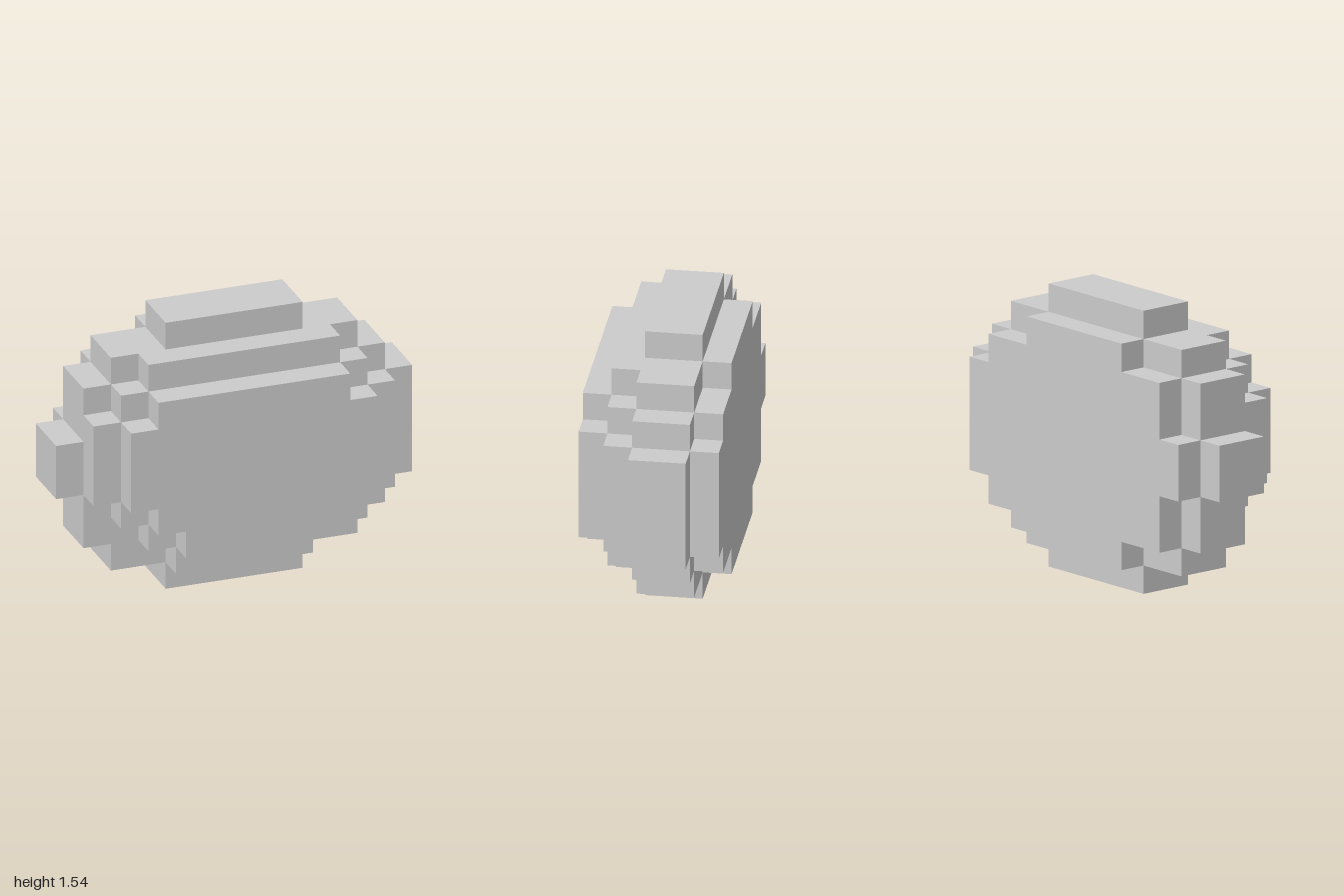
import * as THREE from 'three';

// one grid step; the whole body is 13 x 10 x 5 steps
const U = 2 / 13;

// Each slab: name, back z, thickness, then runs of rows [bottom, top, right edge x, left edge x] in steps
const SLABS = [
  ['backSlab', -2.5, 1, [
    [1, 2, -2.5, 2.5], [2, 3, -4.5, 4.5], [3, 4, -4.5, 5.5],
    [4, 6, -5.5, 5.5], [6, 7, -4.5, 5.5], [7, 8, -4.5, 4.5], [8, 9, -2.5, 2.5]]],
  ['middleSlab', -1.5, 2, [
    [0, 1, -2.5, 2.5], [1, 2, -4.5, 4.5], [2, 3, -5.5, 5.5], [3, 4, -5.5, 6.5],
    [4, 6, -6.5, 6.5], [6, 7, -5.5, 6.5], [7, 8, -5.5, 5.5], [8, 9, -4.5, 4.5], [9, 10, -2.5, 2.5]]],
  ['frontSlab', 0.5, 1, [
    [1, 2, -2.5, 2.5], [2, 3, -3.5, 4.5], [3, 4, -4.5, 5.5],
    [4, 7, -5.5, 5.5], [7, 8, -4.5, 4.5], [8, 9, -3.5, 3.5]]],
  ['facePlate', 1.5, 1, [
    [2, 3, -2.5, 2.5], [3, 4, -3.5, 4.5], [4, 7, -4.5, 4.5], [7, 8, -3.5, 3.5]]],
];

// stepped outline: up the +x side, then down the -x side, skipping points on straight runs
function steppedShape(rows) {
  const points = [];
  const add = (x, y) => {
    const n = points.length;
    if (n > 1 && points[n - 1].x === x && points[n - 2].x === x) points.pop();
    points.push(new THREE.Vector2(x, y));
  };
  for (const [y0, y1, , x] of rows) { add(x, y0); add(x, y1); }
  for (const [y0, y1, x] of [...rows].reverse()) { add(x, y1); add(x, y0); }
  // drop repeated corners where neighbouring rows share an edge
  return new THREE.Shape(points.filter((p, i) => i === 0 || !p.equals(points[i - 1])));
}

export function createModel() {
  const group = new THREE.Group();
  group.name = 'blockyBoulder';
  const material = new THREE.MeshStandardMaterial({ color: 0xcccccc, flatShading: true });

  for (const [name, z, depth, rows] of SLABS) {
    const geometry = new THREE.ExtrudeGeometry(steppedShape(rows), { depth, bevelEnabled: false });
    geometry.translate(0, 0, z);
    geometry.scale(U, U, U);
    const mesh = new THREE.Mesh(geometry, material);
    mesh.name = name;
    group.add(mesh);
  }
  return group;
}
